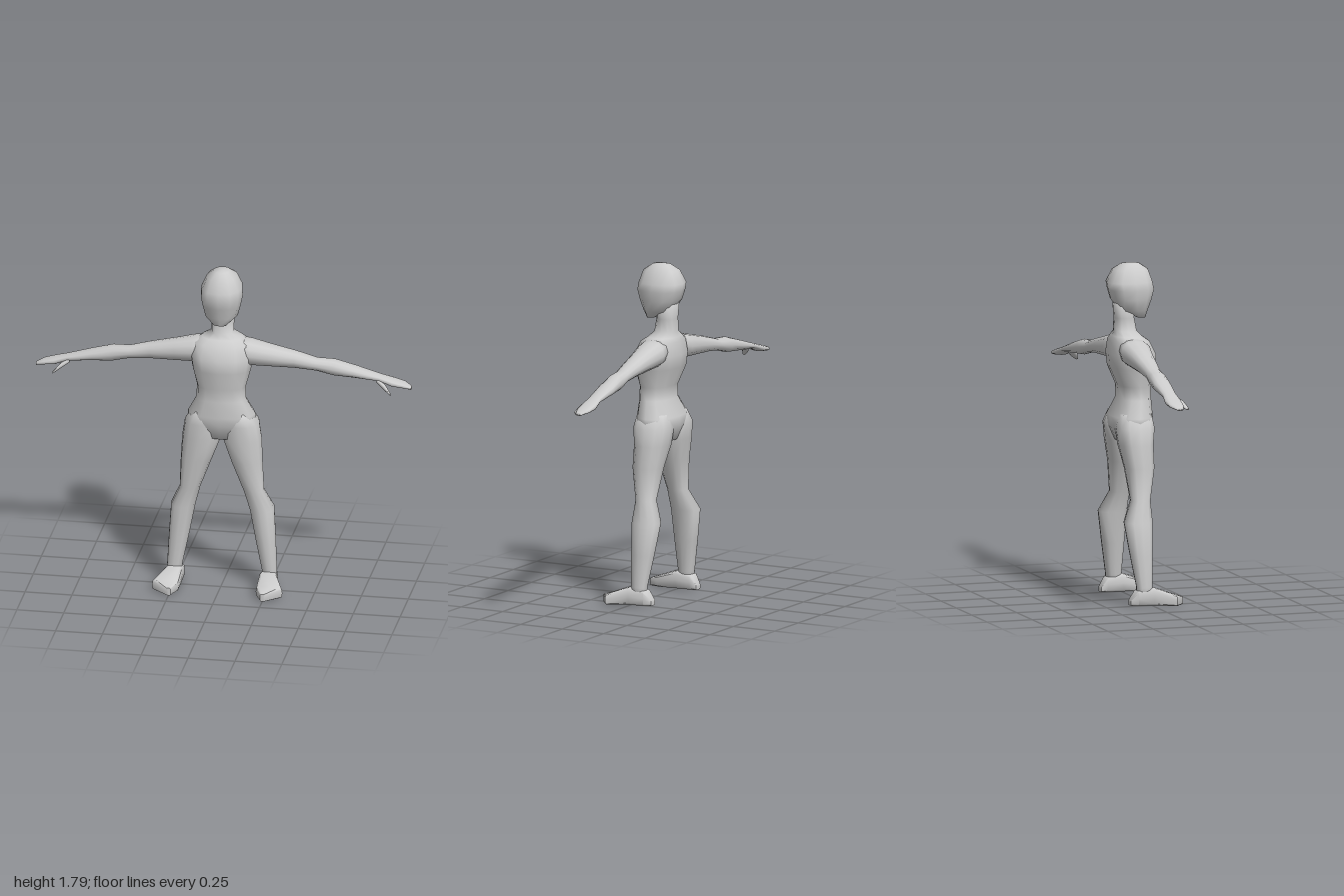
import * as THREE from 'three';
import { toCreasedNormals } from 'three/addons/utils/BufferGeometryUtils.js';

const SIDES = 12;

// Closed loft: each ring is [t, u0, u1, v0, v1]; place() maps (t, u, v) to a point.
function loft(rings, place, squareness = 0.85) {
  const pos = [], index = [];
  const power = (c) => Math.sign(c) * Math.pow(Math.abs(c), squareness);
  for (const [t, u0, u1, v0, v1] of rings) {
    for (let i = 0; i < SIDES; i++) {
      const a = (i / SIDES) * Math.PI * 2;
      const u = (u0 + u1) / 2 + ((u1 - u0) / 2) * power(Math.cos(a));
      const v = (v0 + v1) / 2 + ((v1 - v0) / 2) * power(Math.sin(a));
      pos.push(...place(t, u, v));
    }
  }
  for (let r = 0; r < rings.length - 1; r++) {
    for (let i = 0; i < SIDES; i++) {
      const a = r * SIDES + i, b = r * SIDES + ((i + 1) % SIDES);
      index.push(a, b, a + SIDES, b, b + SIDES, a + SIDES);
    }
  }
  // end caps
  for (const r of [0, rings.length - 1]) {
    const [t, u0, u1, v0, v1] = rings[r];
    const centre = pos.length / 3;
    pos.push(...place(t, (u0 + u1) / 2, (v0 + v1) / 2));
    for (let i = 0; i < SIDES; i++) {
      const a = r * SIDES + i, b = r * SIDES + ((i + 1) % SIDES);
      if (r === 0) index.push(centre, b, a);
      else index.push(centre, a, b);
    }
  }
  // turn the faces outwards if the enclosed volume is negative
  const corner = (i) => new THREE.Vector3().fromArray(pos, index[i] * 3);
  let volume = 0;
  for (let i = 0; i < index.length; i += 3) {
    volume += corner(i).dot(corner(i + 1).cross(corner(i + 2)));
  }
  if (volume < 0) index.reverse();

  const geometry = new THREE.BufferGeometry();
  geometry.setAttribute('position', new THREE.Float32BufferAttribute(pos, 3));
  geometry.setIndex(index);
  geometry.computeVertexNormals();
  return geometry;
}

export function createModel() {
  const group = new THREE.Group();
  group.name = 'figure';
  const grey = new THREE.MeshStandardMaterial({ color: 0xcccccc });
  grey.name = 'plain grey';

  const add = (name, geometry) => {
    const mesh = new THREE.Mesh(geometry, grey);
    mesh.name = name;
    group.add(mesh);
  };
  const upright = (y, x, z) => [x, y, z];

  // Head: y, x range, z range
  add('head', loft([
    [1.497, -0.035, 0.035, 0.0, 0.045],
    [1.54, -0.087, 0.087, -0.1, 0.055],
    [1.6, -0.102, 0.102, -0.142, 0.078],
    [1.65, -0.112, 0.112, -0.157, 0.09],
    [1.69, -0.109, 0.109, -0.165, 0.083],
    [1.755, -0.08, 0.08, -0.132, 0.06],
    [1.785, -0.04, 0.04, -0.085, 0.015],
    [1.79, -0.012, 0.012, -0.045, -0.02],
  ], upright));

  // Neck, chest, waist and hips in one skin
  add('torso', loft([
    [1.58, -0.065, 0.065, -0.128, -0.02],
    [1.5, -0.06, 0.06, -0.122, -0.018],
    [1.43, -0.06, 0.06, -0.127, -0.003],
    [1.405, -0.11, 0.11, -0.135, 0.02],
    [1.38, -0.152, 0.152, -0.145, 0.055],
    [1.31, -0.168, 0.168, -0.155, 0.09],
    [1.24, -0.157, 0.157, -0.148, 0.09],
    [1.14, -0.13, 0.13, -0.104, 0.065],
    [1.07, -0.133, 0.133, -0.103, 0.066],
    [0.98, -0.18, 0.18, -0.145, 0.069],
    [0.93, -0.185, 0.185, -0.146, 0.064],
    [0.85, -0.11, 0.11, -0.115, 0.035],
  ], upright));

  for (const s of [1, -1]) {
    const side = s > 0 ? 'left' : 'right';
    const vertical = (y, x, z) => [s * x, y, z];
    const outward = (x, y, z) => [s * x, y, z];
    const forward = (z, x, y) => [s * x, y, z];

    // Leg: y, x range, z range
    add(side + 'Leg', loft([
      [1.0, 0.02, 0.155, -0.125, 0.05],
      [0.93, 0.0, 0.198, -0.148, 0.06],
      [0.84, 0.004, 0.212, -0.135, 0.048],
      [0.72, 0.05, 0.218, -0.11, 0.047],
      [0.55, 0.115, 0.225, -0.09, 0.015],
      [0.44, 0.145, 0.275, -0.14, 0.015],
      [0.27, 0.177, 0.285, -0.114, 0.008],
      [0.1, 0.212, 0.293, -0.085, 0.0],
      [0.04, 0.216, 0.288, -0.085, -0.005],
    ], vertical));

    // Foot, turned slightly out: z, x range, y range
    add(side + 'Foot', toCreasedNormals(loft([
      [-0.12, 0.218, 0.265, 0.005, 0.035],
      [-0.085, 0.207, 0.29, 0.003, 0.085],
      [0.0, 0.205, 0.298, 0.002, 0.1],
      [0.11, 0.205, 0.348, 0.0, 0.062],
      [0.168, 0.238, 0.262, 0.0, 0.042],
    ], forward, 0.45), 0.8));

    // Arm and hand: x, y range, z range
    add(side + 'Arm', loft([
      [0.06, 1.28, 1.41, -0.125, 0.03],
      [0.155, 1.26, 1.392, -0.138, 0.03],
      [0.25, 1.255, 1.368, -0.128, 0.008],
      [0.385, 1.25, 1.335, -0.124, -0.016],
      [0.5, 1.238, 1.302, -0.12, -0.033],
      [0.59, 1.214, 1.297, -0.134, -0.038],
      [0.7, 1.206, 1.264, -0.142, -0.046],
      [0.83, 1.192, 1.224, -0.138, -0.062],
      [0.9, 1.166, 1.204, -0.15, -0.06],
      [0.96, 1.16, 1.186, -0.146, -0.066],
      [1.0, 1.152, 1.168, -0.118, -0.08],
    ], outward));

    // Thumb: x, y range, z range
    add(side + 'Thumb', loft([
      [0.82, 1.185, 1.21, -0.1, -0.062],
      [0.865, 1.158, 1.186, -0.07, -0.032],
      [0.9, 1.138, 1.15, -0.032, -0.016],
    ], outward));
  }
  return group;
}
